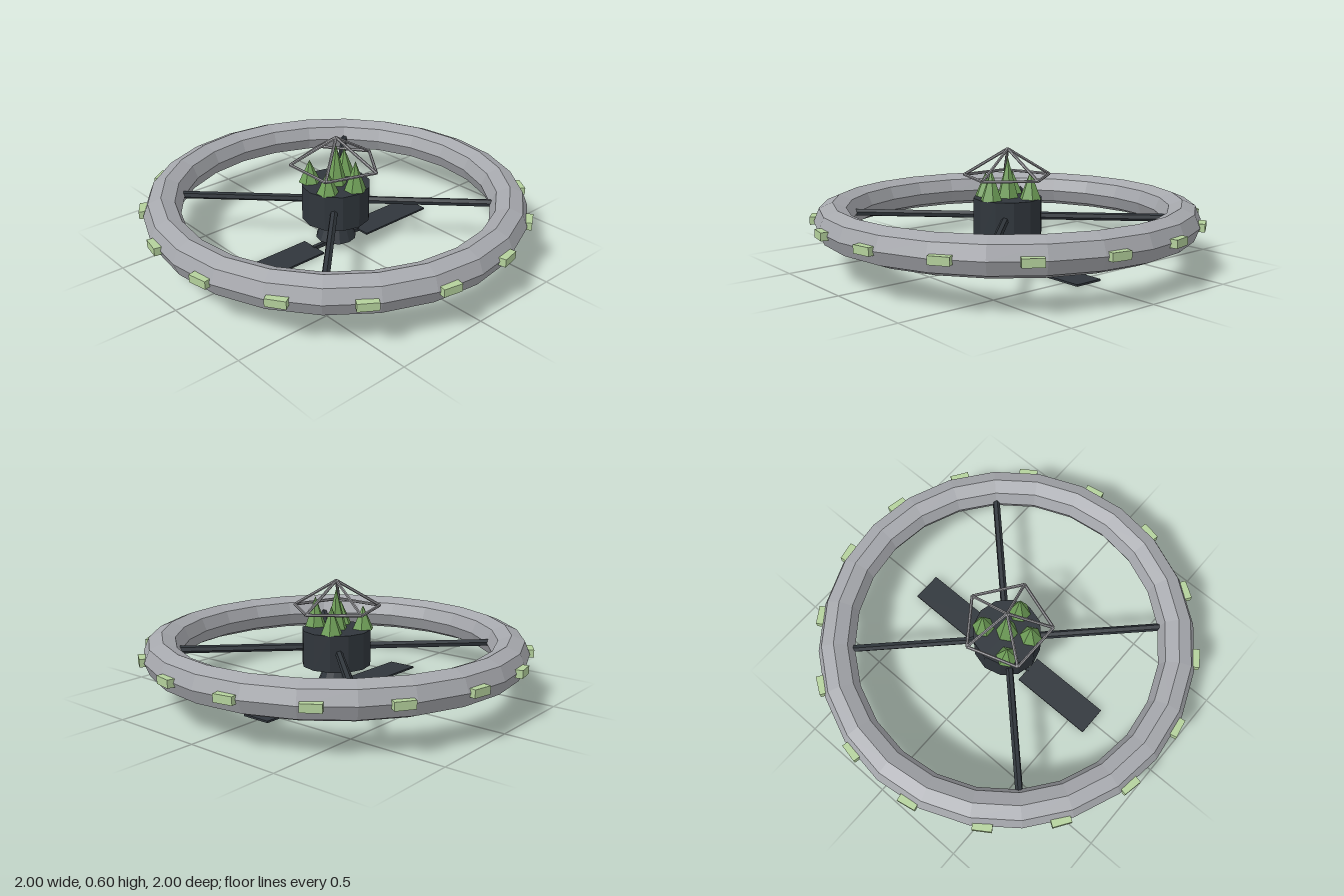
import * as THREE from 'three';

export function createModel() {
  const mat = (name, color) => {
    const m = new THREE.MeshStandardMaterial({ color, flatShading: true });
    m.name = name;
    return m;
  };
  const hull = mat('hullGrey', 0xa6a8ad);
  const dark = mat('darkMetal', 0x30363c);
  const strutGrey = mat('strutGrey', 0x8e8e92);
  const leaf = mat('leafGreen', 0x6f9f58);
  const glow = mat('paleGreen', 0xb4d19c);

  const model = new THREE.Group();
  model.name = 'ringStation';
  const MID = 0.247; // height of the ring's centre line

  const add = (name, geometry, material, x = 0, y = 0, z = 0, parent = model) => {
    const mesh = new THREE.Mesh(geometry, material);
    mesh.name = name;
    mesh.position.set(x, y, z);
    parent.add(mesh);
    return mesh;
  };

  // Straight rod between two points
  const rod = (name, a, b, radius, sides, material, parent) => {
    const dir = b.clone().sub(a);
    const mesh = add(name, new THREE.CylinderGeometry(radius, radius, dir.length(), sides), material, 0, 0, 0, parent);
    mesh.position.copy(a).add(b).multiplyScalar(0.5);
    mesh.quaternion.setFromUnitVectors(new THREE.Vector3(0, 1, 0), dir.normalize());
    return mesh;
  };

  // Outer ring with an eight-sided section
  const ring = new THREE.TorusGeometry(0.895, 0.095, 8, 24);
  ring.rotateX(Math.PI / 2);
  add('outerRing', ring, hull, 0, MID, 0);

  // Window blocks around the rim
  const windows = new THREE.Group();
  windows.name = 'windows';
  model.add(windows);
  const windowGeo = new THREE.BoxGeometry(0.1, 0.04, 0.04);
  for (let i = 0; i < 16; i++) {
    const a = ((i + 0.5) / 16) * Math.PI * 2;
    const w = add('window', windowGeo, glow, Math.sin(a) * 0.99, MID, Math.cos(a) * 0.99, windows);
    w.rotation.y = a;
  }

  // Diagonal spokes from hub to ring
  for (let i = 0; i < 4; i++) {
    const a = Math.PI / 4 + (i * Math.PI) / 2;
    const at = (r) => new THREE.Vector3(Math.cos(a) * r, MID, Math.sin(a) * r);
    rod('spoke', at(0.1), at(0.87), 0.02, 6, dark, model);
  }

  // Hub drum and the flared engine cone below it
  add('hub', new THREE.CylinderGeometry(0.18, 0.18, 0.19, 12), dark, 0, MID, 0);
  add('engineCone', new THREE.CylinderGeometry(0.055, 0.107, 0.13, 12), dark, 0, 0.097, 0);

  // Two flat panels on a thin boom
  add('panelBoom', new THREE.BoxGeometry(0.32, 0.02, 0.02), dark, 0, 0.01, 0);
  for (const s of [-1, 1]) {
    add('panel', new THREE.BoxGeometry(0.45, 0.01, 0.157), dark, s * 0.377, 0.011, 0);
  }

  // Trees on the hub: x, z, height of tip
  const trees = new THREE.Group();
  trees.name = 'trees';
  model.add(trees);
  const base = 0.34;
  for (const [x, z, tip] of [
    [0, 0, 0.553], [0.11, -0.06, 0.485], [-0.09, -0.105, 0.463], [-0.11, 0.06, 0.465], [0.02, 0.125, 0.5],
  ]) {
    add('tree', new THREE.ConeGeometry(0.058, tip - base, 6), leaf, x, (tip + base) / 2, z, trees);
  }

  // Open five-sided dome frame
  const frame = new THREE.Group();
  frame.name = 'domeFrame';
  model.add(frame);
  const apex = new THREE.Vector3(0, 0.595, 0);
  const corner = (i) => {
    const a = (i / 5) * Math.PI * 2;
    return new THREE.Vector3(Math.cos(a) * 0.235, 0.452, Math.sin(a) * 0.235);
  };
  for (let i = 0; i < 5; i++) {
    rod('rafter', corner(i), apex, 0.008, 6, strutGrey, frame);
    rod('eave', corner(i), corner(i + 1), 0.008, 6, strutGrey, frame);
  }

  return model;
}
